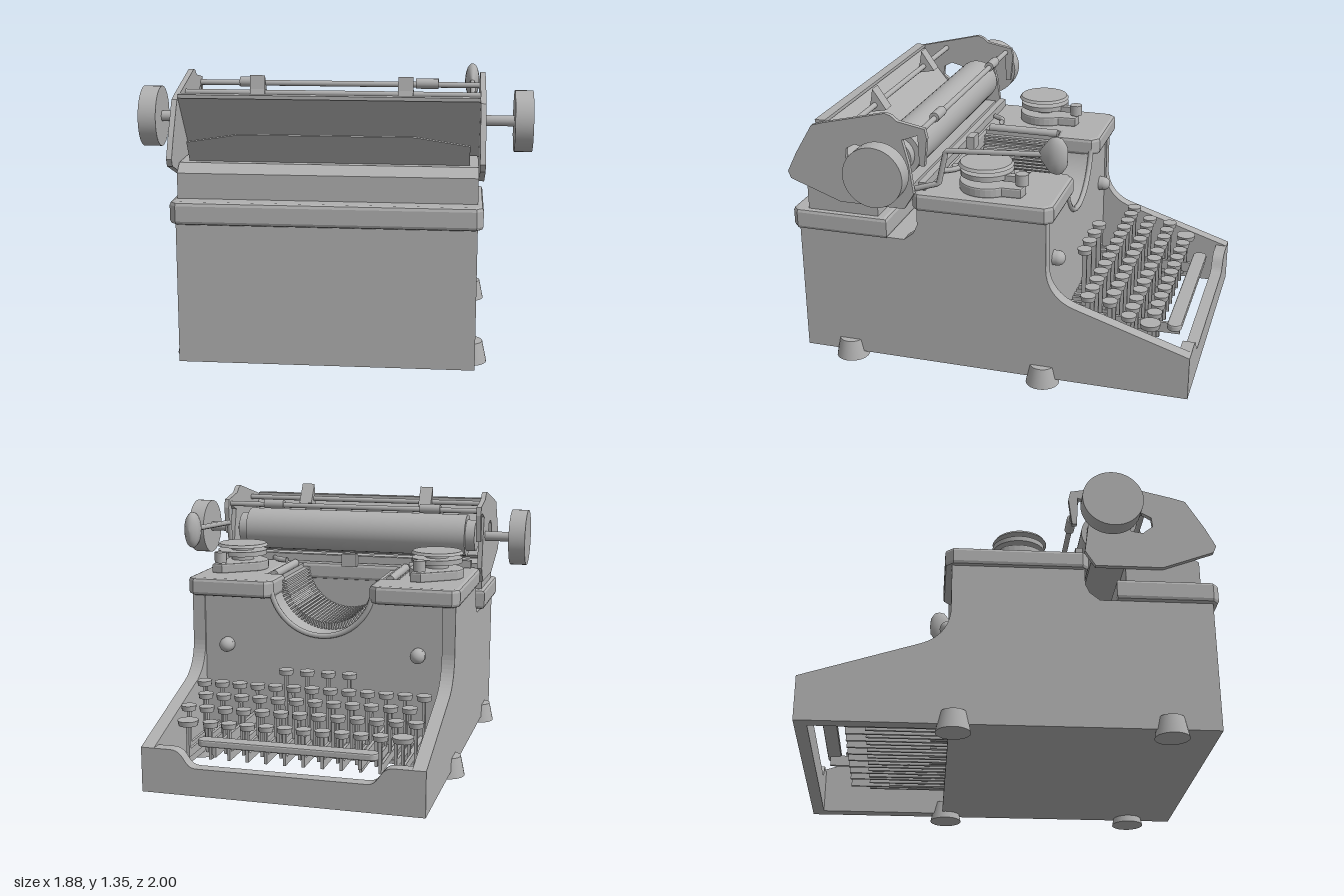
import * as THREE from 'three';

const paint = new THREE.MeshStandardMaterial({ color: 0xb0b0b0, side: THREE.DoubleSide });
paint.name = 'grey enamel';

export function createModel() {
  const model = new THREE.Group();
  model.name = 'typewriter';

  const add = (name, geo, x = 0, y = 0, z = 0) => {
    const m = new THREE.Mesh(geo, paint);
    m.name = name;
    m.position.set(x, y, z);
    model.add(m);
    return m;
  };
  // box given by its limits on each axis
  const box = (name, x0, x1, y0, y1, z0, z1) =>
    add(name, new THREE.BoxGeometry(x1 - x0, y1 - y0, z1 - z0), (x0 + x1) / 2, (y0 + y1) / 2, (z0 + z1) / 2);
  // cylinder lying along x
  const rod = (name, x0, x1, y, z, r, seg = 20) =>
    add(name, new THREE.CylinderGeometry(r, r, x1 - x0, seg).rotateZ(Math.PI / 2), (x0 + x1) / 2, y, z);
  const poly = (pts) => new THREE.Shape(pts.map(([a, b]) => new THREE.Vector2(a, b)));
  // (z, y) outline extruded from x0 to x1
  const sidePlate = (name, shape, x0, x1) =>
    add(name, new THREE.ExtrudeGeometry(shape, { depth: x1 - x0, bevelEnabled: false })
      .rotateY(-Math.PI / 2), x1);
  // (x, z) outline extruded from y0 to y1 with softened edges
  const slab = (name, shape, y0, y1, b = 0.018) =>
    add(name, new THREE.ExtrudeGeometry(shape, {
      depth: y1 - y0 - 2 * b, bevelEnabled: true, bevelThickness: b, bevelSize: b, bevelOffset: -b, bevelSegments: 2,
    }).rotateX(Math.PI / 2), 0, y1 - b);
  const sides = [-1, 1];

  // Body shell: two side walls, back, floor, deck and front panel
  const wall = poly([[0.97, 0.035], [0.97, 0.7], [0.42, 0.695], [0.37, 0.735], [0.35, 0.78], [0.35, 0.9], [-0.295, 0.9], [-0.295, 0.62]]);
  wall.bezierCurveTo(-0.3, 0.52, -0.36, 0.46, -0.44, 0.435);
  wall.lineTo(-1, 0.255);
  wall.lineTo(-1, 0.035);
  sidePlate('leftWall', wall, 0.62, 0.685);
  sidePlate('rightWall', wall, -0.685, -0.62);
  box('backPanel', -0.62, 0.62, 0.035, 0.7, 0.93, 0.97);
  box('floorPlate', -0.62, 0.62, 0.035, 0.055, -0.295, 0.93);
  box('rearDeck', -0.62, 0.62, 0.66, 0.695, 0.32, 0.93);
  box('basketBack', -0.62, 0.62, 0.66, 0.9, 0.31, 0.35);

  const panel = poly([[-0.62, 0.035], [0.62, 0.035], [0.62, 0.9], [0.265, 0.9]]);
  panel.absarc(0, 0.945, 0.265, -0.17, -Math.PI + 0.17, true);
  panel.lineTo(-0.62, 0.9);
  add('frontPanel', new THREE.ExtrudeGeometry(panel, { depth: 0.03, bevelEnabled: false }), 0, 0, -0.285);

  // Low front rail, dipped in the middle
  const lip = poly([[-0.62, 0.035], [0.62, 0.035], [0.62, 0.255], [0.54, 0.255]]);
  lip.bezierCurveTo(0.46, 0.255, 0.48, 0.17, 0.41, 0.17);
  lip.lineTo(-0.41, 0.17);
  lip.bezierCurveTo(-0.48, 0.17, -0.46, 0.255, -0.54, 0.255);
  lip.lineTo(-0.62, 0.255);
  add('frontRail', new THREE.ExtrudeGeometry(lip, { depth: 0.06, bevelEnabled: false }), 0, 0, -1);

  // Top cover, open around the type basket
  slab('topCover', poly([
    [-0.67, -0.328], [-0.29, -0.328], [-0.25, -0.29], [-0.25, -0.1], [-0.345, -0.09], [-0.345, 0.3],
    [0.345, 0.3], [0.345, -0.09], [0.25, -0.1], [0.25, -0.29], [0.29, -0.328], [0.67, -0.328],
    [0.705, -0.29], [0.705, 0.34], [0.68, 0.37], [-0.68, 0.37], [-0.705, 0.34], [-0.705, -0.29],
  ]), 0.86, 0.952);
  // Rear cover and raised block under the carriage
  slab('rearCover', poly([[-0.71, 0.5], [0.71, 0.5], [0.71, 0.97], [0.68, 1], [-0.68, 1], [-0.71, 0.97]]), 0.695, 0.802);
  sidePlate('rearBlock', poly([[0.55, 0.79], [0.915, 0.79], [0.915, 0.92], [0.86, 0.96], [0.55, 0.96]]), -0.685, 0.685);

  // Type basket: half-round trough lined with type bars
  add('basketTrough', new THREE.CylinderGeometry(0.268, 0.268, 0.6, 40, 1, true, Math.PI / 2, Math.PI)
    .rotateX(Math.PI / 2).rotateZ(0), 0, 0.945, 0.012).rotation.z = Math.PI;
  const trough = model.getObjectByName('basketTrough');
  trough.geometry.computeBoundingBox();
  if (trough.geometry.boundingBox.max.y < 0.1) trough.rotation.z = 0;
  add('basketLip', new THREE.TorusGeometry(0.268, 0.014, 8, 32, Math.PI), 0, 0.945, -0.285).rotation.z = Math.PI;
  const barGeo = new THREE.BoxGeometry(0.035, 0.01, 0.44);
  for (let i = 0; i < 41; i++) {
    const a = Math.PI + 0.1 + (i / 40) * (Math.PI - 0.2);
    add('typeBar', barGeo, Math.cos(a) * 0.248, 0.945 + Math.sin(a) * 0.248, 0.08).rotation.z = a;
  }
  box('typeGuide', -0.04, 0.04, 0.94, 1.01, 0.27, 0.31);
  box('frontCarriageRail', -0.66, 0.66, 0.955, 0.995, 0.31, 0.345);

  for (const s of sides) {
    // Basket side rails and ribbon arms
    box('basketRail', s * 0.31 - 0.03, s * 0.31 + 0.03, 0.87, 0.93, -0.09, 0.3);
    add('basketRailRod', new THREE.CylinderGeometry(0.022, 0.022, 0.38, 14).rotateX(Math.PI / 2), s * 0.31, 0.945, 0.1);
    add('ribbonArm', new THREE.TubeGeometry(new THREE.CatmullRomCurve3([
      new THREE.Vector3(s * 0.43, 0.97, 0.3), new THREE.Vector3(s * 0.39, 0.97, 0.25), new THREE.Vector3(s * 0.34, 0.97, 0.235),
    ]), 8, 0.015, 6));

    // Ribbon spool with teardrop base and tensioner
    const x = s * 0.527, tear = new THREE.Shape();
    tear.absarc(0, 0, 0.14, -0.75, Math.PI + 0.55, false);
    tear.lineTo(0.045, -0.2);
    tear.lineTo(0.1, -0.19);
    slab('spoolBase', tear, 0.95, 1.0, 0.008).position.set(x, 0.992, 0.035);
    add('spoolCore', new THREE.CylinderGeometry(0.06, 0.06, 0.09, 20), x, 1.035, 0.04);
    add('spoolFlange', new THREE.CylinderGeometry(0.13, 0.13, 0.025, 32), x, 1.04, 0.04);
    add('spoolTop', new THREE.CylinderGeometry(0.125, 0.135, 0.014, 32), x, 1.08, 0.045);
    add('tensioner', new THREE.CylinderGeometry(0.032, 0.032, 0.055, 12), x + 0.055, 1.035, -0.15);
    box('tensionArm', x + 0.035, x + 0.07, 1.02, 1.05, -0.15, 0);

    // Front panel knobs
    add('panelKnob', new THREE.SphereGeometry(0.038, 18, 8, 0, Math.PI * 2, 0, Math.PI / 2)
      .rotateX(-Math.PI / 2), s * 0.5, 0.607, -0.307);
    add('panelKnobStem', new THREE.CylinderGeometry(0.038, 0.038, 0.025, 18).rotateX(Math.PI / 2), s * 0.5, 0.607, -0.296);

    // Feet
    for (const z of [0.735, -0.275])
      add('foot', new THREE.CylinderGeometry(0.062, 0.083, 0.1, 24), s * 0.66, 0.05, z);

    // Carriage end plates
    const plate = poly([
      [1, 1], [0.985, 0.965], [0.73, 0.87], [0.4, 0.87], [0.35, 0.95], [0.37, 1.1], [0.4, 1.22], [0.32, 1.25],
      [0.315, 1.1], [0.29, 1.1], [0.275, 1.24], [0.285, 1.285], [0.42, 1.31], [0.45, 1.335], [0.48, 1.345],
      [0.8, 1.268], [0.86, 1.25], [0.95, 1.1],
    ]);
    plate.holes.push(poly([[0.58, 1.07], [0.64, 1.06], [0.69, 1.1], [0.685, 1.15], [0.64, 1.175], [0.58, 1.16]]));
    sidePlate('carriageEndPlate', plate, s > 0 ? 0.688 : -0.713, s > 0 ? 0.713 : -0.688);

    // Platen knobs and end collars
    rod('platenKnob', s * 0.898 - 0.043, s * 0.898 + 0.043, 1.11, 0.46, 0.147, 40);
    rod('platenCollar', s * 0.64 - 0.025, s * 0.64 + 0.025, 1.11, 0.46, 0.085, 24);

    // Sleeves on the paper rod and upright paper fingers
    rod('rodSleeve', s * 0.435 - 0.055, s * 0.435 + 0.055, 1.265, 0.318, 0.025, 14);
    sidePlate('paperFinger', poly([[0.61, 1.24], [0.71, 1.22], [0.69, 1.28], [0.68, 1.343]]), s * 0.345 - 0.035, s * 0.345 + 0.035);
  }

  // Carriage: platen, rods, bed and paper tables
  rod('platen', -0.615, 0.615, 1.11, 0.46, 0.112, 40);
  rod('platenAxle', -0.86, 0.86, 1.11, 0.46, 0.026);
  rod('paperRod', -0.69, 0.69, 1.26, 0.318, 0.014, 12);
  rod('fingerRod', -0.69, 0.69, 1.26, 0.67, 0.014, 12);
  box('carriageBed', -0.685, 0.685, 0.9, 0.97, 0.38, 0.56);
  sidePlate('paperTable', poly([[0.6, 0.98], [0.615, 0.965], [0.845, 1.255], [0.83, 1.27]]), -0.688, 0.688);
  box('paperTableEdge', -0.688, 0.688, 1.255, 1.272, 0.8, 0.85);
  add('paperDeflector', new THREE.ExtrudeGeometry(
    poly([[-0.645, 0], [0.645, 0], [0.645, 0.12], [0.4, 0.17], [-0.4, 0.17], [-0.645, 0.12]]),
    { depth: 0.008, bevelEnabled: false }), 0, 0.96, 0.81).rotation.x = 0.56;

  // Carriage return lever with flared paddle
  const path = new THREE.CurvePath();
  const bend = [[0.36, 0.96], [0.24, 1.0], [0.2, 1.17], [-0.27, 1.2]].map(([z, y]) => new THREE.Vector3(0.66, y, z));
  for (let i = 0; i < 3; i++) path.add(new THREE.LineCurve3(bend[i], bend[i + 1]));
  add('returnLever', new THREE.TubeGeometry(path, 48, 0.014, 8));
  const paddle = [[0, 0], [0.02, 0], [0.085, 0.05], [0.092, 0.08], [0.085, 0.105], [0.05, 0.128], [0, 0.133]]
    .map(([r, h]) => new THREE.Vector2(r, h));
  add('leverPaddle', new THREE.LatheGeometry(paddle, 24).rotateX(-Math.PI / 2).scale(0.42, 1, 1), 0.66, 1.2, -0.257);

  // Keyboard: round keys on stems over long levers
  const key = (x, y, z, r) => {
    add('keyCap', new THREE.CylinderGeometry(r, r * 0.9, 0.026, 16), x, y - 0.013, z);
    box('keyStem', x - 0.007, x + 0.007, 0.17, y - 0.02, z - 0.012, z + 0.012);
    box('keyLever', x - 0.007, x + 0.007, 0.15, 0.19, z - 0.012, -0.28);
  };
  const rows = [[10, -0.425, 0.0935, 0.338, -0.78], [13, -0.573, 0.095, 0.383, -0.68],
    [12, -0.52, 0.0942, 0.42, -0.575], [13, -0.57, 0.0942, 0.457, -0.475], [4, -0.168, 0.11, 0.512, -0.362]];
  for (const [n, x0, step, y, z] of rows)
    for (let i = 0; i < n; i++) key(x0 + i * step, y, z, 0.038);
  for (const s of sides) {
    key(s * 0.532, 0.338, -0.78, 0.052);
    box('spaceBarArm', s * 0.355 - 0.008, s * 0.355 + 0.008, 0.2, 0.255, -0.9, -0.28);
  }

  // Space bar with rounded ends
  const bar = new THREE.Shape();
  bar.absarc(0.405, -0.88, 0.036, -Math.PI / 2, Math.PI / 2, false);
  bar.absarc(-0.405, -0.88, 0.036, Math.PI / 2, Math.PI * 1.5, false);
  slab('spaceBar', bar, 0.25, 0.285, 0.008);

  return model;
}
